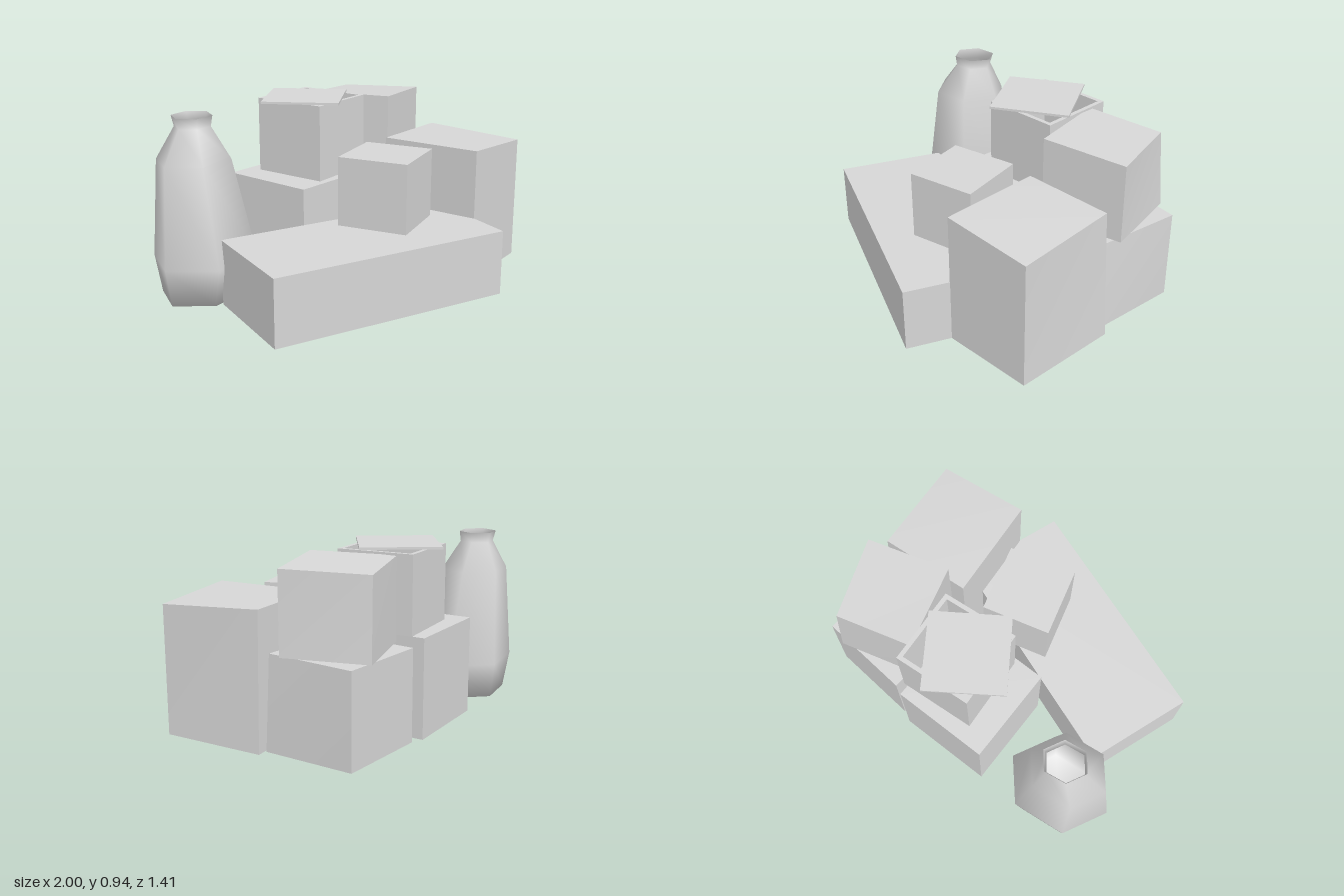
import * as THREE from 'three';

// Bottomless box with freely placed corners, each [x, z], ordered around the plan:
// back left, back right, front right, front left. tops: a height or one per corner.
function crateGeometry(base, y0, tops, topPlan = base, closed = false) {
  const geo = new THREE.BoxGeometry(1, 1, 1);
  const pos = geo.attributes.position;
  for (let i = 0; i < pos.count; i++) {
    const right = pos.getX(i) > 0, front = pos.getZ(i) > 0, up = pos.getY(i) > 0;
    const k = front ? (right ? 2 : 3) : (right ? 1 : 0);
    const [x, z] = (up ? topPlan : base)[k];
    const y = up ? (Array.isArray(tops) ? tops[k] : tops) : y0;
    pos.setXYZ(i, x, y, z);
  }
  geo.computeVertexNormals();
  if (!closed) {
    // The fourth side of the box is its underside
    const index = Array.from(geo.index.array);
    index.splice(18, 6);
    geo.setIndex(index);
    geo.clearGroups();
  }
  return geo;
}

// Plan corners moved towards their centre by a factor
function insetPlan(plan, f) {
  const cx = plan.reduce((s, p) => s + p[0], 0) / 4;
  const cz = plan.reduce((s, p) => s + p[1], 0) / 4;
  return plan.map(([x, z]) => [cx + (x - cx) * f, cz + (z - cz) * f]);
}

export function createModel() {
  const group = new THREE.Group();
  const grey = new THREE.MeshStandardMaterial({ color: 0xd6d6d6, side: THREE.DoubleSide });
  grey.name = 'plainGrey';
  const add = (name, geo, parent = group) => {
    const mesh = new THREE.Mesh(geo, grey);
    mesh.name = name;
    parent.add(mesh);
  };

  // Long low crate in front, small cube on it
  add('longCrate', crateGeometry([[-0.737, 0.12], [0.552, 0.12], [0.552, 0.705], [-0.737, 0.705]], 0, 0.34));
  add('smallCrate', crateGeometry([[-0.125, 0.208], [0.175, 0], [0.387, 0.303], [0.09, 0.514]], 0.34, 0.703));

  // Tall crate with a slightly sagging top
  add('tallCrate', crateGeometry(
    [[0.32, -0.035], [0.795, -0.255], [1, 0.264], [0.55, 0.47]], 0,
    [0.703, 0.7, 0.673, 0.705],
    [[0.32, -0.035], [0.77, -0.235], [1, 0.264], [0.55, 0.47]]));

  // Two lower crates at the back, the right one tapering at one corner
  add('backLeftCrate', crateGeometry([[-0.443, -0.405], [0.05, -0.587], [0.232, -0.09], [-0.26, 0.088]], 0, 0.52));
  add('backRightCrate', crateGeometry(
    [[0.115, -0.58], [0.59, -0.707], [0.745, -0.243], [0.245, -0.113]], 0, 0.482,
    [[0.115, -0.58], [0.59, -0.707], [0.715, -0.237], [0.245, -0.113]]));

  // Warped crate stacked at the back right
  add('warpedCrate', crateGeometry(
    [[0.11, -0.45], [0.472, -0.705], [0.728, -0.343], [0.362, -0.085]], 0.486,
    [0.915, 0.89, 0.902, 0.92],
    [[0.11, -0.45], [0.448, -0.68], [0.728, -0.343], [0.362, -0.085]]));

  // Open crate: four walls and a floor
  const openCrate = new THREE.Group();
  openCrate.name = 'openCrate';
  group.add(openCrate);
  const outer = [[-0.288, -0.37], [0.088, -0.54], [0.253, -0.165], [-0.12, 0.01]];
  const inner = insetPlan(outer, 0.89);
  const toPoints = plan => plan.map(([x, z]) => new THREE.Vector2(x, -z)).reverse();
  const shape = new THREE.Shape(toPoints(outer));
  shape.holes.push(new THREE.Path(toPoints(inner)));
  const walls = new THREE.ExtrudeGeometry(shape, { depth: 0.402, bevelEnabled: false });
  walls.rotateX(-Math.PI / 2).translate(0, 0.525, 0);
  add('crateWalls', walls, openCrate);
  add('crateFloor', crateGeometry(inner, 0.525, 0.53), openCrate);

  // Loose lid lying askew on the open crate
  add('lid', crateGeometry([[-0.36, -0.19], [-0.12, -0.527], [0.213, -0.285], [-0.03, 0.05]], 0.93, 0.942, undefined, true));

  // Six-sided hollow jar, a little oval: rows of [x radius, z radius, y, centre x, centre z]
  const rows = [
    [0, 0, 0, -0.75, -0.09],
    [0.235, 0.215, 0, -0.75, -0.09],
    [0.285, 0.26, 0.2, -0.738, -0.088],
    [0.202, 0.19, 0.71, -0.777, -0.098],
    [0.098, 0.098, 0.87, -0.768, -0.12],
    [0.11, 0.11, 0.925, -0.768, -0.125],
  ];
  const jar = new THREE.LatheGeometry(rows.map(r => new THREE.Vector2(r[0], r[2])), 6, Math.PI);
  const pos = jar.attributes.position;
  for (let i = 0; i < pos.count; i++) {
    const [rx, rz, y, cx, cz] = rows[i % rows.length];
    const z = rx ? pos.getZ(i) * rz / rx : 0;
    pos.setXYZ(i, pos.getX(i) - 0.13 * z + cx, y, z + cz);
  }
  add('jar', jar);

  return group;
}
